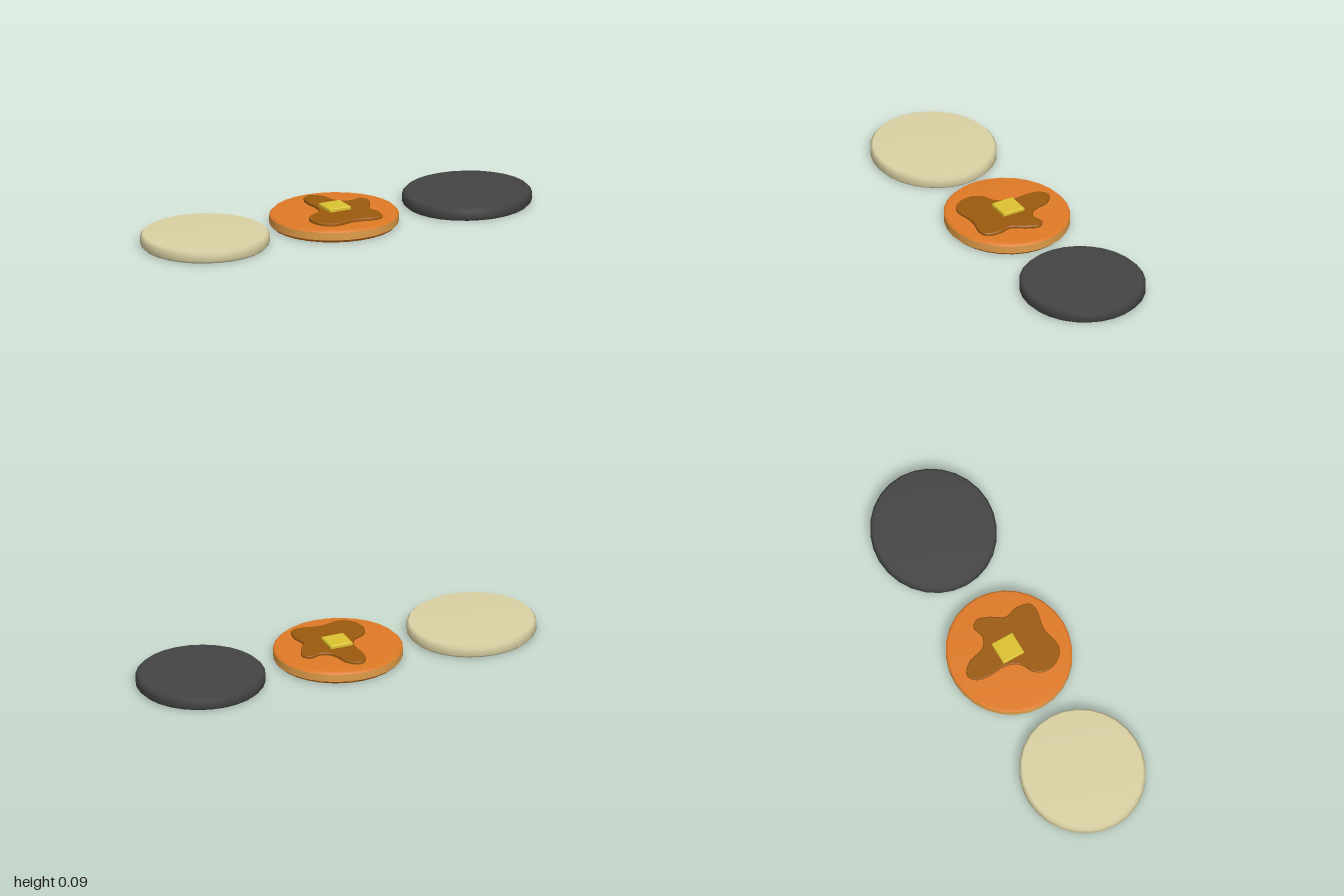
import * as THREE from 'three';

const mat = (name, color) => {
  const m = new THREE.MeshStandardMaterial({ color });
  m.name = name;
  return m;
};

const batter = mat('raw batter', 0xdbd2a4);
const golden = mat('golden crust', 0xe07a26);
const rim = mat('pale rim', 0xdf9c48);
const burnt = mat('burnt crust', 0x444445);
const syrup = mat('syrup', 0x9c5a0e);
const butter = mat('butter', 0xdcc230);

const R = 0.307, H = 0.063, BEVEL = 0.013;
const SQUASH = 0.955; // the discs are a little narrower in z

// Half profiles, from the bottom centre out and up to the top centre
const bottomProfile = [[0, 0], [R - BEVEL, 0], [R, BEVEL]];
const sideProfile = [[R, BEVEL], [R, H - BEVEL]];
const topProfile = [[R, H - BEVEL], [R - BEVEL, H], [0, H]];
const fullProfile = [...bottomProfile, ...topProfile];

function disc(name, profile, material) {
  const points = profile.map(([x, y]) => new THREE.Vector2(x, y));
  const mesh = new THREE.Mesh(new THREE.LatheGeometry(points, 28), material);
  mesh.name = name;
  mesh.scale.z = SQUASH;
  return mesh;
}

// Extrudes an outline drawn in x and z upwards, with a small chamfer
function slab(name, shape, y, height, bevel, material) {
  const geometry = new THREE.ExtrudeGeometry(shape, {
    depth: height - 2 * bevel, bevelEnabled: true, bevelThickness: bevel,
    bevelSize: bevel, bevelOffset: -bevel, bevelSegments: 1, curveSegments: 1,
  });
  geometry.rotateX(-Math.PI / 2);
  geometry.translate(0, y + bevel, 0);
  const mesh = new THREE.Mesh(geometry, material);
  mesh.name = name;
  return mesh;
}

export function createModel() {
  const model = new THREE.Group();
  model.name = 'pancakes';

  // Raw and burnt pancakes on either side
  const raw = disc('rawPancake', fullProfile, batter);
  raw.position.x = -0.693;
  const burned = disc('burntPancake', fullProfile, burnt);
  burned.position.x = 0.693;
  model.add(raw, burned);

  // Cooked pancake with browned faces and a paler rim
  const cooked = new THREE.Group();
  cooked.name = 'cookedPancake';
  cooked.add(
    disc('bottomCrust', bottomProfile, golden),
    disc('sideRim', sideProfile, rim),
    disc('topCrust', topProfile, golden),
  );
  cooked.position.x = -0.01;
  model.add(cooked);

  // Syrup puddle, outline as x, z pairs
  const outline = [
    [-0.02, -0.235], [0.03, -0.195], [0.06, -0.105], [0.11, -0.075], [0.17, -0.088],
    [0.197, -0.055], [0.18, 0], [0.14, 0.07], [0.155, 0.13], [0.14, 0.2],
    [0.095, 0.213], [0, 0.195], [-0.12, 0.21], [-0.175, 0.16], [-0.185, 0.085],
    [-0.155, 0.04], [-0.1, 0.01], [-0.07, -0.055], [-0.075, -0.15], [-0.06, -0.21],
  ].map(([x, z]) => new THREE.Vector3(x, -z, 0));
  const curve = new THREE.CatmullRomCurve3(outline, true, 'centripetal');
  const puddle = new THREE.Shape(
    curve.getPoints(72).slice(0, -1).map((p) => new THREE.Vector2(p.x, p.y)),
  );
  model.add(slab('syrupPuddle', puddle, H - 0.006, 0.02, 0.004, syrup));

  // Butter pat
  const a = 0.056;
  const square = new THREE.Shape([[-a, -a], [a, -a], [a, a], [-a, a]]
    .map(([x, y]) => new THREE.Vector2(x, y)));
  const pat = slab('butterPat', square, 0.07, 0.023, 0.004, butter);
  pat.position.set(-0.004, 0, -0.003);
  model.add(pat);

  return model;
}
